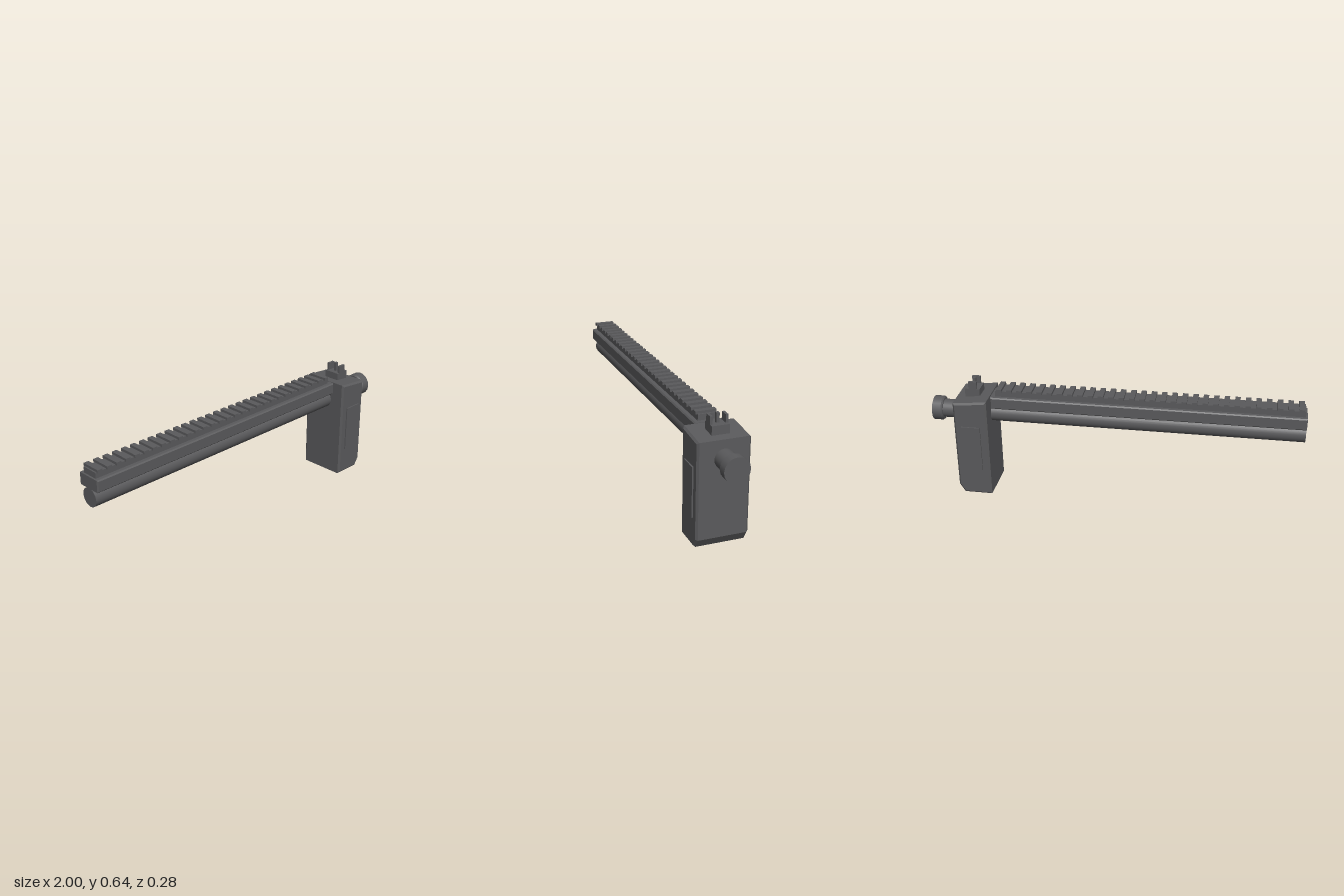
import * as THREE from 'three';

export function createModel() {
  const model = new THREE.Group();
  const gunmetal = new THREE.MeshStandardMaterial({ color: 0x5a5a5c });
  gunmetal.name = 'darkGrey';

  function add(name, geometry, x = 0, y = 0, z = 0) {
    const mesh = new THREE.Mesh(geometry, gunmetal);
    mesh.name = name;
    mesh.position.set(x, y, z);
    model.add(mesh);
    return mesh;
  }
  // box given by its limits in x and y, and its depth in z
  function box(name, x0, x1, y0, y1, depth, z = 0) {
    return add(name, new THREE.BoxGeometry(x1 - x0, y1 - y0, depth), (x0 + x1) / 2, (y0 + y1) / 2, z);
  }
  // cylinder lying along x
  function rod(name, x0, x1, r0, r1, sides) {
    const geometry = new THREE.CylinderGeometry(r1, r0, x1 - x0, sides);
    geometry.rotateZ(-Math.PI / 2);
    return add(name, geometry, (x0 + x1) / 2, 0.45, 0);
  }
  // outline extruded evenly about z = 0 with a small bevel
  function bevelled(name, points, depth, bevel) {
    const shape = new THREE.Shape(points.map(([a, b]) => new THREE.Vector2(a, b)));
    const geometry = new THREE.ExtrudeGeometry(shape, {
      depth: depth - 2 * bevel, bevelEnabled: true, bevelSegments: 1,
      bevelSize: bevel, bevelOffset: -bevel, bevelThickness: bevel,
    });
    geometry.translate(0, 0, bevel - depth / 2);
    return add(name, geometry);
  }

  // long tube and the bar above it
  rod('tube', -1, 0.7, 0.05, 0.05, 32);
  box('tubeWeb', -0.995, 0.69, 0.46, 0.505, 0.05);
  bevelled('topBar', [[-1, 0.497], [0.67, 0.497], [0.67, 0.562], [-1, 0.562]], 0.14, 0.006);

  // toothed rail
  box('railBase', -0.99, 0.645, 0.555, 0.593, 0.09);
  const teeth = 30;
  for (let i = 0; i < teeth; i++) {
    const x = -0.968 + (i * 1.59) / (teeth - 1);
    box('railTooth', x - 0.014, x + 0.014, 0.59, 0.606, 0.108);
  }

  // end block with sloping top and cut lower corner
  bevelled('endBlock', [
    [0.675, 0], [0.828, 0], [0.858, 0.048], [0.858, 0.545], [0.675, 0.562],
  ], 0.27, 0.01);
  for (const side of [-1, 1]) {
    box('sidePanel', 0.715, 0.818, 0.152, 0.412, 0.01, side * 0.137);
  }

  // stub and knob
  rod('stub', 0.85, 0.955, 0.05, 0.05, 32);
  rod('knobTaper', 0.944, 0.952, 0.058, 0.066, 16);
  rod('knob', 0.952, 1, 0.066, 0.066, 16);

  // sight on top of the block
  box('sightBase', 0.73, 0.81, 0.55, 0.596, 0.09);
  for (const side of [-1, 1]) {
    box('sightEar', 0.745, 0.79, 0.59, 0.637, 0.013, side * 0.039);
  }
  box('sightPost', 0.759, 0.776, 0.59, 0.645, 0.016);

  return model;
}
